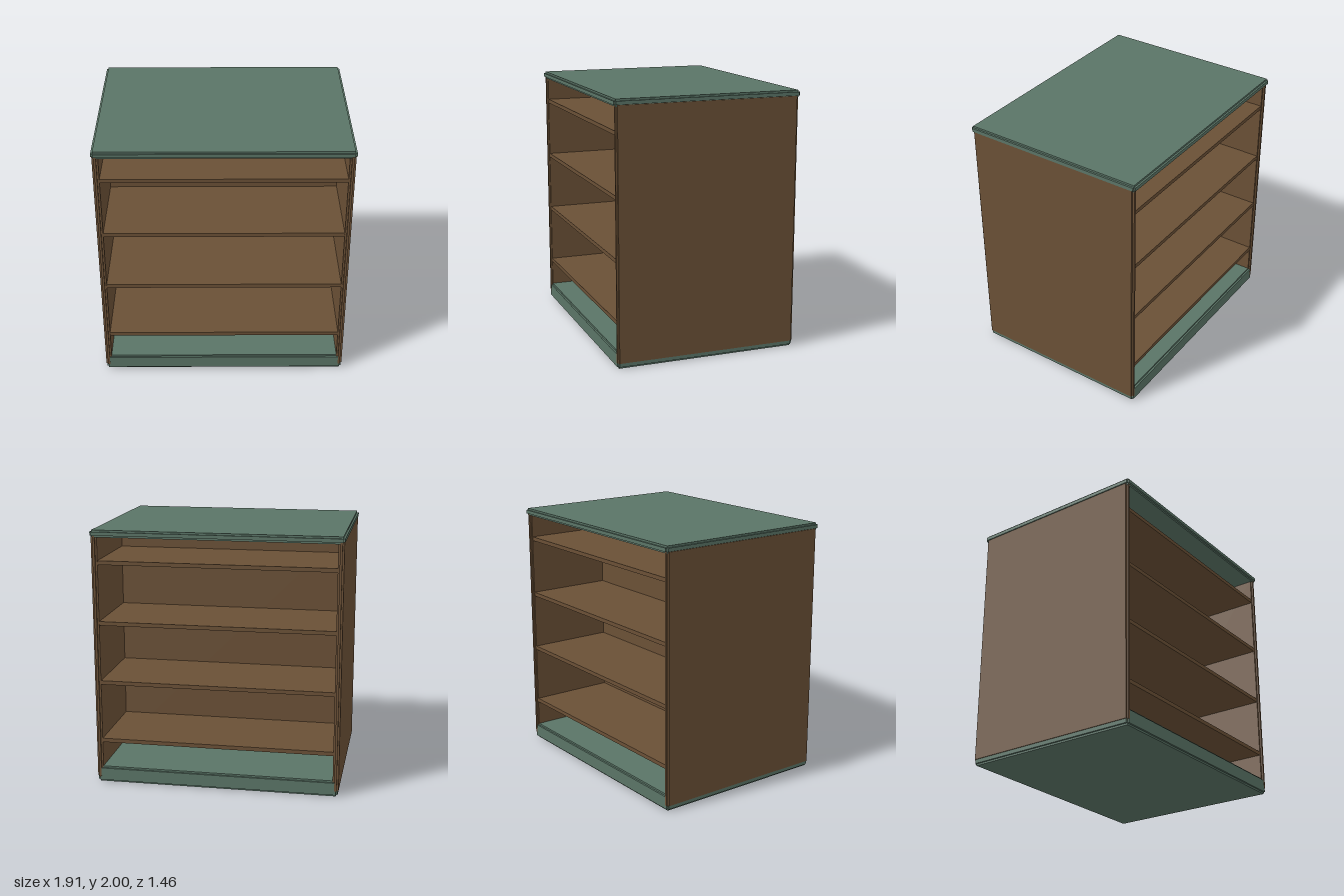
import * as THREE from 'three';

const STEP = 0.014; // depth of the stepped edge moulding

export function createModel() {
  const green = new THREE.MeshStandardMaterial({ color: 0x5a7466 });
  green.name = 'greenPaint';
  const wood = new THREE.MeshStandardMaterial({ color: 0x6a5036 });
  wood.name = 'brownWood';

  const model = new THREE.Group();
  model.name = 'doubleSidedShelf';

  function box(parent, name, material, size, pos) {
    const mesh = new THREE.Mesh(new THREE.BoxGeometry(...size), material);
    mesh.name = name;
    mesh.position.set(...pos);
    parent.add(mesh);
  }

  // Board with stepped edges: three crossing boxes, each full-size along one axis
  function steppedBoard(name, material, size, pos) {
    const board = new THREE.Group();
    board.name = name;
    for (let axis = 0; axis < 3; axis++) {
      const s = size.map((v, i) => (i === axis ? v : v - 2 * STEP));
      box(board, name + 'Layer', material, s, [0, 0, 0]);
    }
    board.position.set(...pos);
    model.add(board);
  }

  // Top slab and base plinth
  steppedBoard('top', green, [1.91, 0.055, 1.456], [0, 1.9725, 0]);
  steppedBoard('base', green, [1.888, 0.125, 1.428], [0, 0.0625, 0]);

  // Side panels
  for (const [name, side] of [['leftPanel', 1], ['rightPanel', -1]]) {
    steppedBoard(name, wood, [0.046, 1.94, 1.43], [side * 0.927, 1.0, 0]);
  }

  // Central divider, open shelves on both sides of it
  box(model, 'divider', wood, [1.82, 1.83, 0.036], [0, 1.035, 0]);

  // Four shelves running through from front to back
  for (let i = 0; i < 4; i++) {
    box(model, 'shelf', wood, [1.82, 0.031, 1.40], [0, 0.34 + i * 0.47, 0]);
  }

  return model;
}
